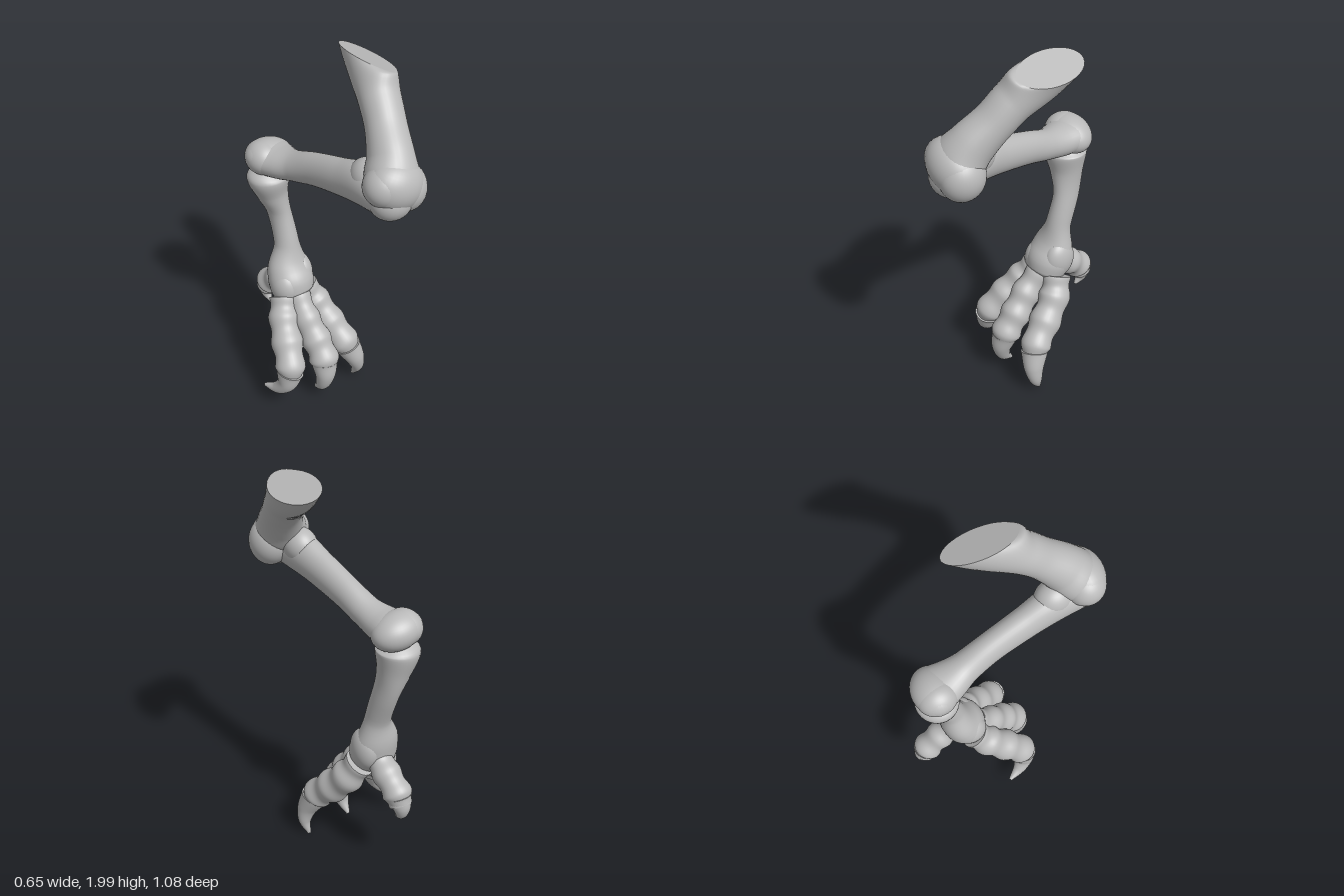
import * as THREE from 'three';

const bone = new THREE.MeshStandardMaterial({ color: 0xbababa });
bone.name = 'bone grey';

// Smooth loft through stations [x, y, z, half width, half depth], capped at both ends.
// ripple = [count, amount] swells the radius into pads; cut = normal of a slanted first end.
function loft(name, stations, { ripple = [0, 0], cut = null, rings = 48, sides = 32 } = {}) {
  const path = new THREE.CatmullRomCurve3(stations.map(s => new THREE.Vector3(s[0], s[1], s[2])));
  const size = new THREE.CatmullRomCurve3(stations.map(s => new THREE.Vector3(s[3], s[4] ?? s[3], 0)));
  const pos = [], index = [];
  const centres = [];
  for (let i = 0; i <= rings; i++) {
    const s = i / rings;
    const c = path.getPoint(s), r = size.getPoint(s), t = path.getTangent(s);
    if (cut) t.lerp(cut, Math.max(0, 1 - s * (stations.length - 1))).normalize();
    const u = new THREE.Vector3(1, 0, 0).addScaledVector(t, -t.x).normalize();
    const v = new THREE.Vector3().crossVectors(t, u);
    const k = 1 + ripple[1] * Math.cos(2 * Math.PI * ripple[0] * s);
    centres.push(c);
    for (let j = 0; j < sides; j++) {
      const a = j / sides * Math.PI * 2;
      const p = c.clone().addScaledVector(u, Math.cos(a) * r.x * k).addScaledVector(v, Math.sin(a) * r.y * k);
      pos.push(p.x, p.y, p.z);
    }
  }
  for (let i = 0; i < rings; i++) {
    for (let j = 0; j < sides; j++) {
      const n = (j + 1) % sides;
      const a = i * sides + j, b = i * sides + n, c = a + sides, d = b + sides;
      index.push(a, b, c, b, d, c);
    }
  }
  // End caps use their own vertices so that the rims stay sharp
  for (const end of [0, rings]) {
    const base = pos.length / 3;
    pos.push(...pos.slice(end * sides * 3, (end + 1) * sides * 3), ...centres[end].toArray());
    for (let j = 0; j < sides; j++) {
      const a = base + j, b = base + (j + 1) % sides, m = base + sides;
      if (end === 0) index.push(m, b, a);
      else index.push(m, a, b);
    }
  }
  const g = new THREE.BufferGeometry();
  g.setAttribute('position', new THREE.Float32BufferAttribute(pos, 3));
  g.setIndex(index);
  g.computeVertexNormals();
  const mesh = new THREE.Mesh(g, bone);
  mesh.name = name;
  return mesh;
}

// Ellipsoid knob at a joint
function knob(name, centre, radii, tilt = 0) {
  const mesh = new THREE.Mesh(new THREE.SphereGeometry(1, 36, 24), bone);
  mesh.name = name;
  mesh.position.set(...centre);
  mesh.scale.set(...radii);
  mesh.rotation.z = tilt;
  return mesh;
}

// Padded toe with a hooked claw
function toe(name, pads, claw, count) {
  const group = new THREE.Group();
  group.name = name;
  group.add(loft(name + 'Pads', pads, { ripple: [count, 0.07], rings: 64 }));
  group.add(loft(name + 'Claw', claw, { rings: 32 }));
  return group;
}

export function createModel() {
  const leg = new THREE.Group();
  leg.name = 'clawedLeg';

  // Thigh with a slanted flat cut at the top, swelling into the knee
  leg.add(loft('thigh', [
    [0.228, 1.958, 0.008, 0.1, 0.18],
    [0.172, 1.835, 0.172, 0.098, 0.1],
    [0.145, 1.757, 0.25, 0.097, 0.095],
    [0.102, 1.655, 0.345, 0.108, 0.112],
    [0.075, 1.585, 0.395, 0.13, 0.118],
    [0.07, 1.53, 0.435, 0.1, 0.075],
  ], { cut: new THREE.Vector3(-0.39, -0.92, 0) }));

  // Knee condyles
  leg.add(knob('kneeCentre', [0.068, 1.557, 0.425], [0.15, 0.125, 0.114], -0.4));
  leg.add(knob('kneeOuter', [0.122, 1.525, 0.42], [0.102, 0.12, 0.112]));
  leg.add(knob('kneeInner', [0.015, 1.57, 0.42], [0.105, 0.1, 0.1]));

  // Shin
  leg.add(knob('shinHead', [0.045, 1.49, 0.425], [0.105, 0.1, 0.1]));
  leg.add(knob('shinCrest', [0.035, 1.53, 0.28], [0.083, 0.092, 0.1]));
  leg.add(loft('shin', [
    [0.035, 1.49, 0.42, 0.09, 0.09],
    [0.025, 1.49, 0.28, 0.085, 0.105],
    [0.01, 1.455, 0.13, 0.074, 0.094],
    [-0.01, 1.40, -0.07, 0.07, 0.083],
    [-0.028, 1.355, -0.2, 0.077, 0.077],
    [-0.045, 1.335, -0.29, 0.1, 0.08],
    [-0.058, 1.33, -0.37, 0.122, 0.085],
  ]));
  leg.add(knob('ankle', [-0.06, 1.333, -0.385], [0.13, 0.09, 0.104], -0.2));
  leg.add(knob('ankleLobe', [-0.098, 1.338, -0.382], [0.09, 0.087, 0.1]));

  // Foot bone
  leg.add(loft('footBone', [
    [-0.075, 1.27, -0.38, 0.07, 0.06],
    [-0.075, 1.225, -0.38, 0.11, 0.106],
    [-0.058, 1.12, -0.375, 0.082, 0.086],
    [-0.033, 1.0, -0.355, 0.058, 0.074],
    [-0.028, 0.83, -0.302, 0.065, 0.066],
    [-0.038, 0.7, -0.28, 0.112, 0.093],
    [-0.04, 0.62, -0.25, 0.122, 0.112],
    [-0.04, 0.56, -0.225, 0.108, 0.1],
    [-0.04, 0.53, -0.21, 0.07, 0.06],
  ]));
  leg.add(knob('footKnobLeft', [0.02, 0.645, -0.265], [0.065, 0.11, 0.09]));
  leg.add(knob('footKnobRight', [-0.09, 0.61, -0.235], [0.075, 0.1, 0.088]));

  // Three front toes and the hind toe
  leg.add(toe('middleToe', [
    [-0.045, 0.55, -0.19, 0.064, 0.074], [-0.05, 0.455, -0.105, 0.07, 0.08], [-0.042, 0.36, -0.025, 0.076, 0.08],
    [-0.04, 0.27, 0.043, 0.076], [-0.045, 0.19, 0.066, 0.05],
  ], [
    [-0.042, 0.255, 0.05, 0.072], [-0.05, 0.18, 0.068, 0.054], [-0.057, 0.1, 0.05, 0.036],
    [-0.06, 0.038, -0.006, 0.009],
  ], 4));
  leg.add(toe('leftToe', [
    [0.035, 0.55, -0.24, 0.068, 0.074], [0.072, 0.46, -0.195, 0.076, 0.082], [0.103, 0.355, -0.105, 0.079, 0.084],
    [0.135, 0.26, -0.012, 0.076], [0.162, 0.18, 0.026, 0.05],
  ], [
    [0.145, 0.235, 0.006, 0.072], [0.173, 0.155, 0.034, 0.053], [0.19, 0.08, 0.034, 0.034],
    [0.182, 0.008, 0.005, 0.009],
  ], 4));
  leg.add(toe('rightToe', [
    [-0.11, 0.55, -0.22, 0.068, 0.074], [-0.15, 0.47, -0.165, 0.076, 0.08], [-0.19, 0.375, -0.08, 0.079, 0.082],
    [-0.226, 0.28, 0, 0.075], [-0.245, 0.2, 0.015, 0.05],
  ], [
    [-0.233, 0.255, 0.008, 0.072], [-0.253, 0.185, 0.004, 0.053], [-0.284, 0.135, -0.038, 0.034],
    [-0.318, 0.117, -0.11, 0.009],
  ], 4));
  leg.add(toe('hindToe', [
    [-0.03, 0.61, -0.29, 0.067], [-0.03, 0.54, -0.38, 0.07],
    [-0.037, 0.468, -0.46, 0.071], [-0.04, 0.415, -0.487, 0.054],
  ], [
    [-0.037, 0.455, -0.472, 0.068], [-0.04, 0.405, -0.495, 0.046], [-0.042, 0.36, -0.488, 0.029],
    [-0.042, 0.327, -0.453, 0.008],
  ], 3));

  return leg;
}
